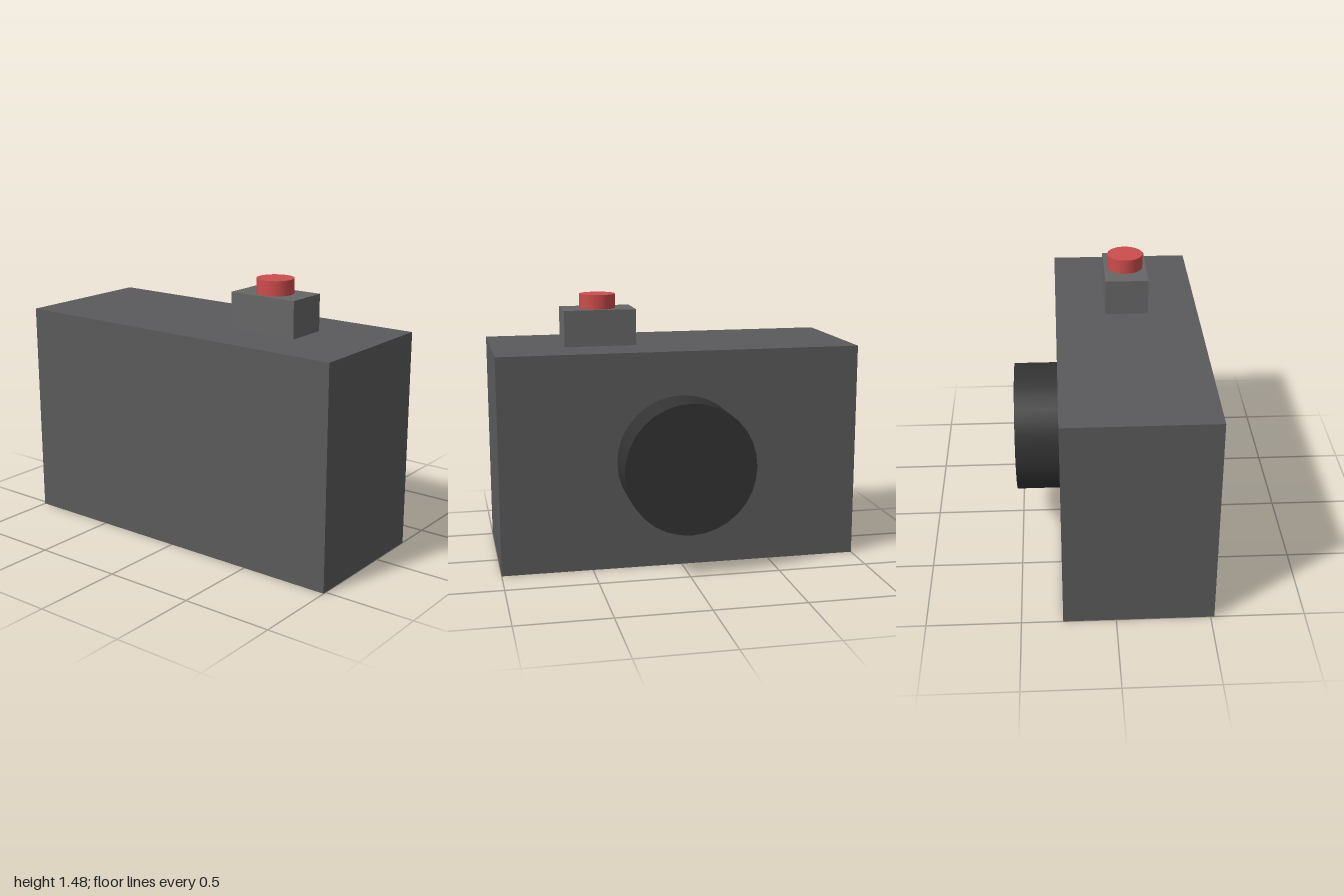
import * as THREE from 'three';

export function createModel() {
  const model = new THREE.Group();
  model.name = 'camera';

  const add = (name, geometry, color, x, y, z) => {
    const mesh = new THREE.Mesh(geometry, new THREE.MeshStandardMaterial({ color }));
    mesh.name = name;
    mesh.position.set(x, y, z);
    model.add(mesh);
    return mesh;
  };

  // Main box
  add('body', new THREE.BoxGeometry(2, 1.2, 0.8), 0x5a5a5c, 0, 0.6, 0.12);

  // Lens barrel on the -z face
  const lens = add('lens', new THREE.CylinderGeometry(0.36, 0.36, 0.24, 32), 0x333333, 0, 0.6, -0.4);
  lens.rotation.x = -Math.PI / 2;

  // Raised block with the shutter button on top
  add('buttonBase', new THREE.BoxGeometry(0.4, 0.2, 0.24), 0x666666, 0.4, 1.3, 0.12);
  add('shutterButton', new THREE.CylinderGeometry(0.1, 0.1, 0.08, 32), 0xcc4c4c, 0.4, 1.44, 0.12);

  return model;
}
